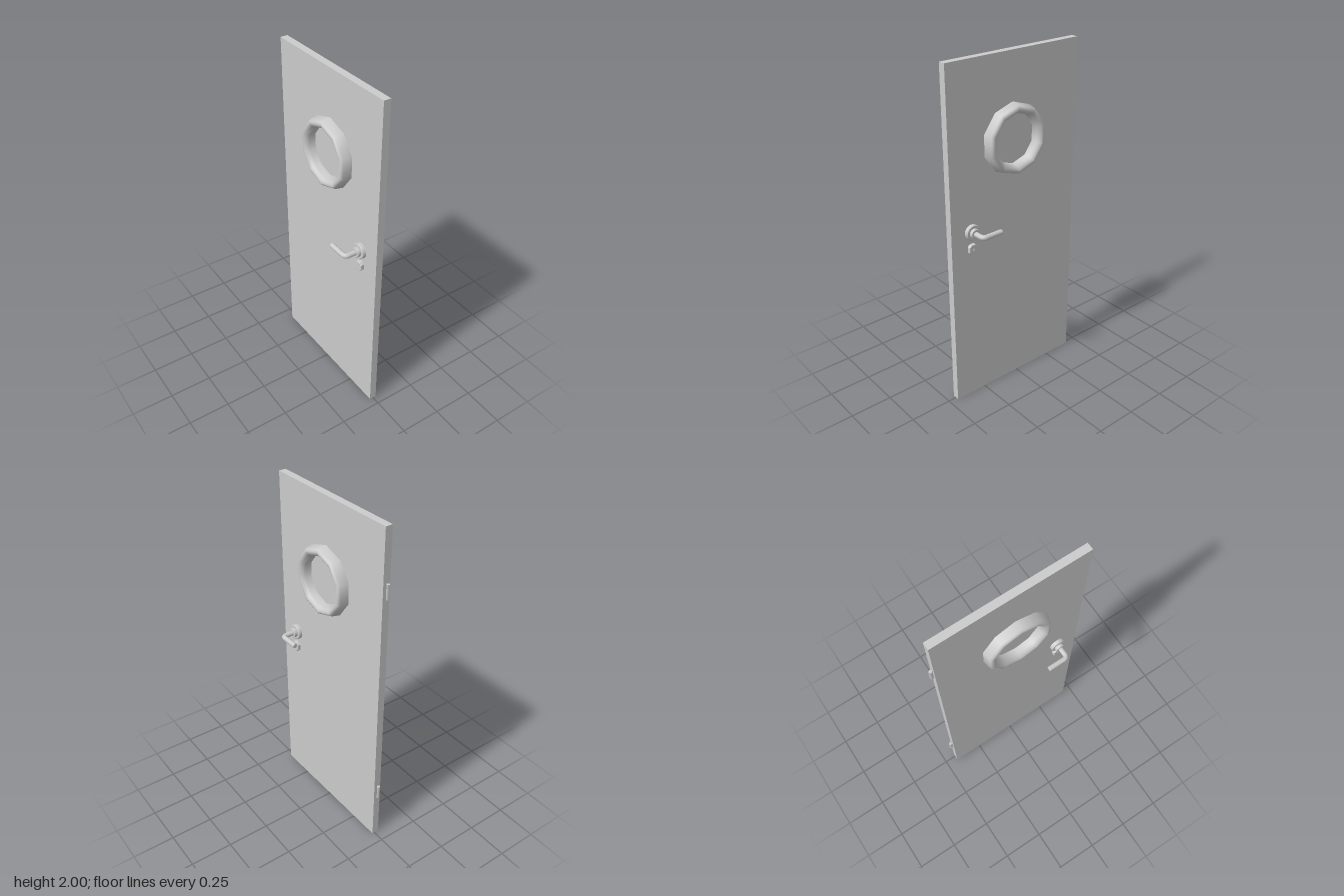
import * as THREE from 'three';
import { toCreasedNormals } from 'three/addons/utils/BufferGeometryUtils.js';

const material = new THREE.MeshStandardMaterial({ color: 0xcccccc });
const V = (x, y, z) => new THREE.Vector3(x, y, z);

function add(parent, name, geometry, x = 0, y = 0, z = 0) {
  const mesh = new THREE.Mesh(geometry, material);
  mesh.name = name;
  mesh.position.set(x, y, z);
  parent.add(mesh);
  return mesh;
}

// Turned part standing out from the door face; profile is [radius, distance from door middle]
function turned(profile, sides, side, crease) {
  const points = profile.map(([r, d]) => new THREE.Vector2(r, d));
  const geometry = new THREE.LatheGeometry(points, sides, Math.PI / 2);
  geometry.rotateZ(-side * Math.PI / 2);
  return toCreasedNormals(geometry, crease);
}

// Lever: out from the door, round a bend, then along the door
function leverGeometry(side) {
  const reach = 0.125, bend = 0.025;
  const path = new THREE.CurvePath();
  path.add(new THREE.LineCurve3(V(side * 0.03, 0, 0), V(side * (reach - bend), 0, 0)));
  path.add(new THREE.QuadraticBezierCurve3(
    V(side * (reach - bend), 0, 0), V(side * reach, 0, 0), V(side * reach, 0, -bend)));
  path.add(new THREE.LineCurve3(V(side * reach, 0, -bend), V(side * reach, 0, -0.122)));
  return new THREE.TubeGeometry(path, 40, 0.015, 12);
}

// Lock cover: rounded-off plate with a narrow keyhole
function lockGeometry(side) {
  const shape = new THREE.Shape();
  const outline = [[0.012, 0.026], [0.023, 0.015], [0.023, -0.015], [0.012, -0.026]];
  const corners = [...outline, ...outline.map(([x, y]) => [-x, -y])];
  shape.setFromPoints(corners.map(([x, y]) => new THREE.Vector2(x, y)).reverse());
  const hole = new THREE.Path();
  hole.absellipse(0, 0, 0.005, 0.012, 0, Math.PI * 2, true);
  shape.holes.push(hole);
  const geometry = new THREE.ExtrudeGeometry(shape, {
    depth: 0.037, curveSegments: 4, bevelThickness: 0.004, bevelSize: 0.003, bevelSegments: 2
  });
  return geometry.rotateY(side * Math.PI / 2);
}

export function createModel() {
  const door = new THREE.Group();
  door.name = 'door';

  // Door leaf
  add(door, 'doorLeaf', new THREE.BoxGeometry(0.042, 2, 0.878), 0, 1, 0.01);

  // Fittings on both faces
  const ringProfile = [
    [0.2, 0], [0.2, 0.021], [0.191, 0.068], [0.186, 0.077], [0.176, 0.082],
    [0.165, 0.08], [0.153, 0.07], [0.146, 0.055], [0.144, 0.02]
  ];
  const rosetteProfile = [
    [0.045, 0], [0.045, 0.04], [0.042, 0.043], [0.028, 0.043],
    [0.028, 0.06], [0.026, 0.062], [0, 0.062]
  ];
  for (const side of [1, -1]) {
    const face = new THREE.Group();
    face.name = side > 0 ? 'leftFittings' : 'rightFittings';
    door.add(face);

    add(face, 'windowRing', turned(ringProfile, 10, side, 0.75), 0, 1.53, 0.028);

    const handle = new THREE.Group();
    handle.name = 'handle';
    handle.position.set(0, 1.065, 0.316);
    face.add(handle);
    add(handle, 'rosette', turned(rosetteProfile, 16, side, 0.6));
    add(handle, 'lever', leverGeometry(side));
    const tip = new THREE.CylinderGeometry(0.015, 0.013, 0.003, 12).rotateX(Math.PI / 2);
    add(handle, 'leverTip', tip, side * 0.125, 0, -0.1235);

    add(face, 'lockCover', lockGeometry(side), 0, 0.965, 0.318);
  }

  // Four-sided hinge pins on the back edge
  for (const y of [0.34, 1.66]) {
    add(door, 'hinge', new THREE.CylinderGeometry(0.011, 0.011, 0.084, 4).toNonIndexed(), -0.001, y, -0.439);
  }

  // The door hangs very slightly ajar
  door.rotation.y = 0.007;
  door.position.x = -0.004;
  const model = new THREE.Group();
  model.name = 'doorModel';
  model.add(door);
  return model;
}
